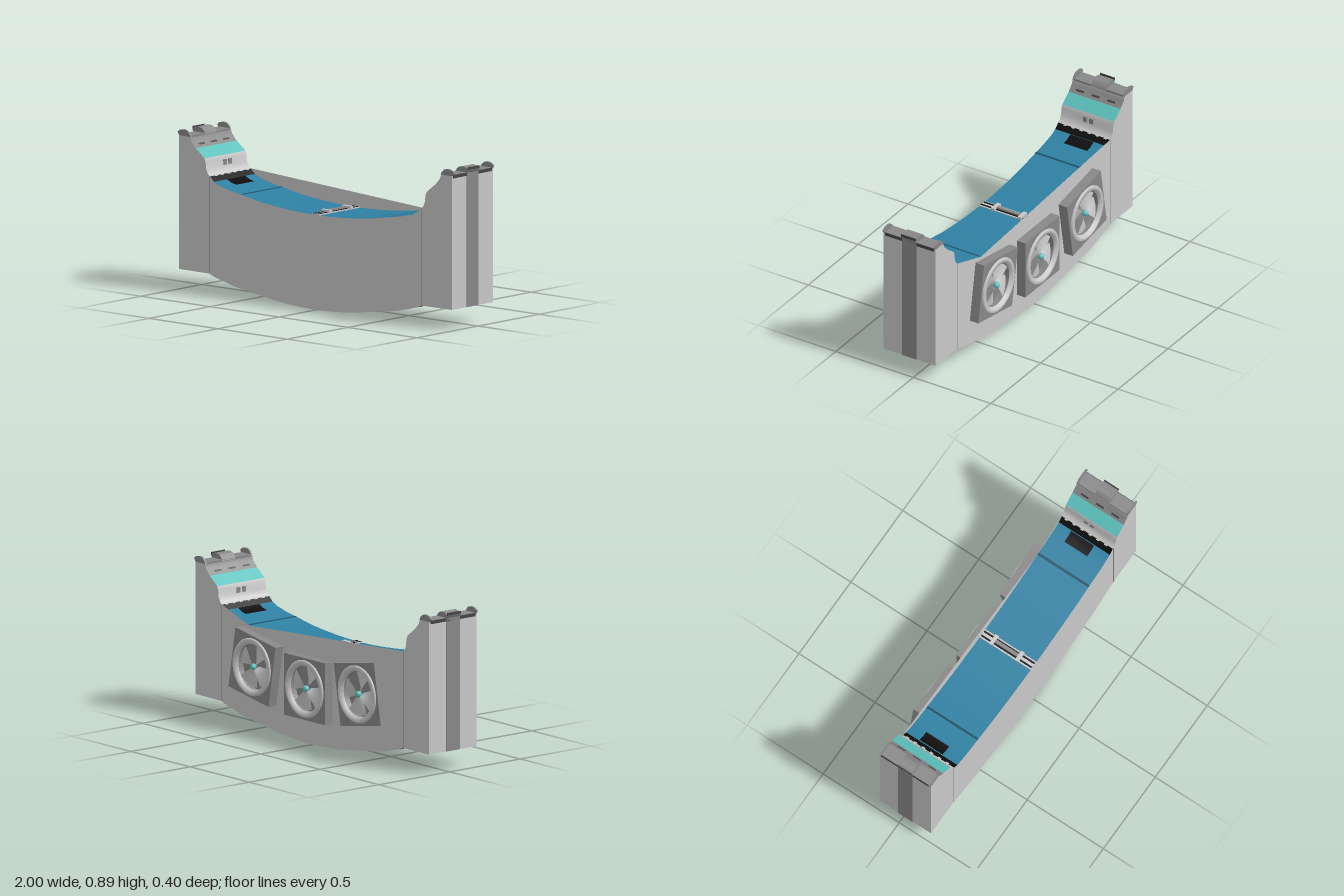
import * as THREE from 'three';

const Z0 = -0.135, Z1 = 0.2, ZC = (Z0 + Z1) / 2;

function mat(name, color) {
  const m = new THREE.MeshStandardMaterial({ color, side: THREE.DoubleSide });
  m.name = name;
  return m;
}

// One half of the top outline, from the outer edge to the middle
const TOP_HALF = [[-0.988, 0.85], [-0.91, 0.85], [-0.9, 0.825], [-0.87, 0.793], [-0.805, 0.743], [-0.797, 0.725],
  [-0.792, 0.685], [-0.78, 0.66], [-0.765, 0.648], [-0.735, 0.622], [-0.7, 0.605], [-0.62, 0.586], [-0.535, 0.572],
  [-0.4, 0.549], [-0.3, 0.538], [-0.2, 0.53], [-0.1, 0.525], [0, 0.523]];
const BOTTOM_HALF = [[-0.988, 0.113], [-0.77, 0.112], [-0.74, 0.1], [-0.6, 0.064], [-0.5, 0.048], [-0.4, 0.035],
  [-0.3, 0.02], [-0.2, 0.009], [-0.1, 0.003], [0, 0]];
const mirrored = half => [...half, ...half.slice(0, -1).reverse().map(([x, y]) => [-x, y])];
const TOP = mirrored(TOP_HALF), BOTTOM = mirrored(BOTTOM_HALF);

function heightAt(line, x) {
  for (let i = 1; i < line.length; i++) {
    const [ax, ay] = line[i - 1], [bx, by] = line[i];
    if (x <= bx) return ay + (by - ay) * (x - ax) / (bx - ax);
  }
  return line[line.length - 1][1];
}

// Part of an outline between two x values
function section(line, a, b) {
  return [[a, heightAt(line, a)], ...line.filter(([x]) => x > a + 1e-6 && x < b - 1e-6), [b, heightAt(line, b)]];
}

// Strip swept across the depth; points running to +x face up
function ribbon(points, z0, z1, lift = 0) {
  const pos = [], idx = [];
  points.forEach(([x, y], i) => {
    pos.push(x, y + lift, z0, x, y + lift, z1);
    if (i) {
      const a = 2 * i - 2, b = 2 * i;
      idx.push(a + 1, b + 1, b, a + 1, b, a);
    }
  });
  const g = new THREE.BufferGeometry();
  g.setAttribute('position', new THREE.Float32BufferAttribute(pos, 3));
  g.setIndex(idx);
  g.computeVertexNormals();
  return g;
}

const shapeOf = pts => new THREE.Shape(pts.map(([x, y]) => new THREE.Vector2(x, y)));

export function createModel() {
  const root = new THREE.Group();
  root.name = 'curvedConsole';
  const light = mat('lightGrey', 0xc8c8c8), grey = mat('midGrey', 0x888888), dark = mat('darkGrey', 0x444444);
  const black = mat('black', 0x0c0c0c), blue = mat('blue', 0x2e80a2), navy = mat('darkBlue', 0x1b5066);
  const teal = mat('teal', 0x5cc0bc);

  function add(name, geo, material, x = 0, y = 0, z = 0, parent = root) {
    const m = new THREE.Mesh(geo, material);
    m.name = name;
    m.position.set(x, y, z);
    parent.add(m);
    return m;
  }
  const box = (name, w, h, d, m, x, y, z, parent) => add(name, new THREE.BoxGeometry(w, h, d), m, x, y, z, parent);
  // Strip on the top outline, on the side given by s
  function top(name, a, b, m, s = 1, z0 = Z0, z1 = Z1, lift = 0) {
    add(name, ribbon(s > 0 ? section(TOP, -b, -a).map(([x, y]) => [-x, y]).reverse() : section(TOP, -b, -a), z0, z1, lift), m);
  }

  // Front wall follows the deck; back wall has a straight upper edge
  const under = [...BOTTOM].reverse();
  add('frontWall', new THREE.ShapeGeometry(shapeOf([...TOP, ...under])), light, 0, 0, Z1);
  const backTop = [...TOP.filter(([x]) => x < -0.77), [-0.77, 0.65], [0.53, 0.572], [0.77, 0.65], ...TOP.filter(([x]) => x > 0.77)];
  add('backWall', new THREE.ShapeGeometry(shapeOf([...backTop, ...under])).rotateY(Math.PI).scale(-1, 1, 1), light, 0, 0, Z0)
    .geometry.index.array.reverse();
  root.children[1].geometry.computeVertexNormals();

  // Deck and underside
  add('deck', ribbon(section(TOP, -0.735, 0.735), Z0, Z1), blue);
  add('underside', ribbon(section(BOTTOM, -0.74, 0.74).reverse(), Z0, Z1), blue);

  for (const s of [-1, 1]) {
    // Upper bands of the end console
    top('consoleLedge', 0.868, 0.988, grey, s);
    top('tealPanel', 0.805, 0.868, teal, s);
    top('curvedPanel', 0.765, 0.805, light, s);
    top('blackBand', 0.735, 0.765, black, s);
    top('deckGrille', 0.665, 0.73, black, s, -0.05, 0.1, 0.004);
    top('deckSeam', 0.528, 0.542, navy, s, Z0, Z1, 0.003);
    for (let i = 0; i < 3; i++) {
      top('ledgeSlot', 0.878, 0.886, dark, s, -0.09 + i * 0.1, -0.04 + i * 0.1, 0.003);
    }
    for (const z of [0.005, 0.045]) {
      box('panelSocket', 0.006, 0.03, 0.024, grey, s * 0.793, 0.705, z);
    }
    for (let i = 0; i < 6; i++) {
      top('bandTooth', 0.758, 0.768, light, s, -0.115 + i * 0.052, -0.095 + i * 0.052, 0.004);
    }

    // End face and underside of the block
    box('endFace', 0.002, 0.737, Z1 - Z0, light, s * 0.987, 0.4815, ZC);
    box('endStripe', 0.005, 0.757, 0.095, grey, s * 0.9885, 0.4915, ZC);
    const foot = section(BOTTOM, -0.988, -0.77), band = section(BOTTOM, -0.77, -0.74);
    const flip = p => (s < 0 ? [...p].reverse() : p.map(([x, y]) => [-x, y]));
    add('blockUnderside', ribbon(flip(foot), Z0, Z1), light);
    add('undersideBand', ribbon(flip(band), Z0, Z1), black);
    for (const z of [Z0, Z1]) box('wallSeam', 0.005, 0.535, 0.002, grey, s * 0.77, 0.38, z);

    // Rounded caps: thin end hooks, raised centre and lower bridge
    const hook = shapeOf([[0.988, 0.849], [1, 0.868], [0.985, 0.88], [0.955, 0.886], [0.93, 0.88], [0.915, 0.866],
      [0.905, 0.849]].map(([x, y]) => [x * s, y]));
    for (const [a, b] of [[0.19, Z1], [Z0, -0.125], [-0.015, 0.08]]) {
      add('capHook', new THREE.ExtrudeGeometry(hook, { depth: b - a, bevelEnabled: false }), grey, 0, 0, a);
    }
    box('capBridge', 0.08, 0.012, 0.315, grey, s * 0.948, 0.85, ZC);
    box('capLip', 0.005, 0.018, 0.315, dark, s * 0.9885, 0.846, ZC);
    box('centreLip', 0.004, 0.016, 0.095, dark, s * 0.997, 0.876, ZC);
  }

  // Bracket across the middle of the deck
  box('bracketBase', 0.056, 0.006, Z1 - Z0, light, 0, 0.526, ZC);
  for (const s of [-1, 1]) box('bracketSlot', 0.01, 0.006, Z1 - Z0 - 0.004, black, s * 0.014, 0.528, ZC);
  box('bracketRod', 0.02, 0.014, 0.18, grey, 0, 0.533, 0.03);
  for (const z of [-0.06, 0.11]) box('bracketClamp', 0.064, 0.016, 0.022, light, 0, 0.534, z);

  // Fans on the back wall
  const h = 0.172;
  const frame = shapeOf([[-h, -h], [h, -h], [h, h], [-h, h]]);
  frame.holes.push(new THREE.Path().absarc(0, 0, 0.135, 0, Math.PI * 2, true));
  const frameGeo = new THREE.ExtrudeGeometry(frame, { depth: 0.055, bevelEnabled: false, curveSegments: 24 });
  const ringGeo = new THREE.LatheGeometry([[0.126, 0], [0.16, 0], [0.16, 0.014], [0.152, 0.02], [0.134, 0.02], [0.126, 0]]
    .map(([x, y]) => new THREE.Vector2(x, y)), 40).rotateX(-Math.PI / 2);
  // Pitched blade, wider toward the rim
  const bladeGeo = new THREE.PlaneGeometry(1, 1, 6, 4);
  const p = bladeGeo.attributes.position;
  for (let i = 0; i < p.count; i++) {
    const r = 0.015 + (p.getY(i) + 0.5) * 0.106, a = p.getX(i) * 1.05;
    p.setXYZ(i, r * Math.sin(a), r * Math.cos(a), p.getX(i) * 0.026);
  }
  bladeGeo.computeVertexNormals();

  for (const [x, y, tilt] of [[-0.445, 0.363, -0.17], [0, 0.317, 0], [0.445, 0.363, 0.17]]) {
    const fan = new THREE.Group();
    fan.name = 'fan';
    fan.position.set(x, y, Z0);
    fan.rotation.z = tilt;
    root.add(fan);
    add('fanFrame', frameGeo, grey, 0, 0, -0.055, fan);
    add('fanRing', ringGeo, light, 0, 0, -0.045, fan);
    for (let i = 0; i < 4; i++) add('fanBlade', bladeGeo, light, 0, 0, -0.034, fan).rotation.z = 0.35 + i * Math.PI / 2;
    add('fanBack', new THREE.CircleGeometry(0.136, 32).rotateY(Math.PI), grey, 0, 0, -0.003, fan);
    add('fanHub', new THREE.SphereGeometry(0.018, 16, 12), teal, 0, 0, -0.045, fan);
  }
  return root;
}
